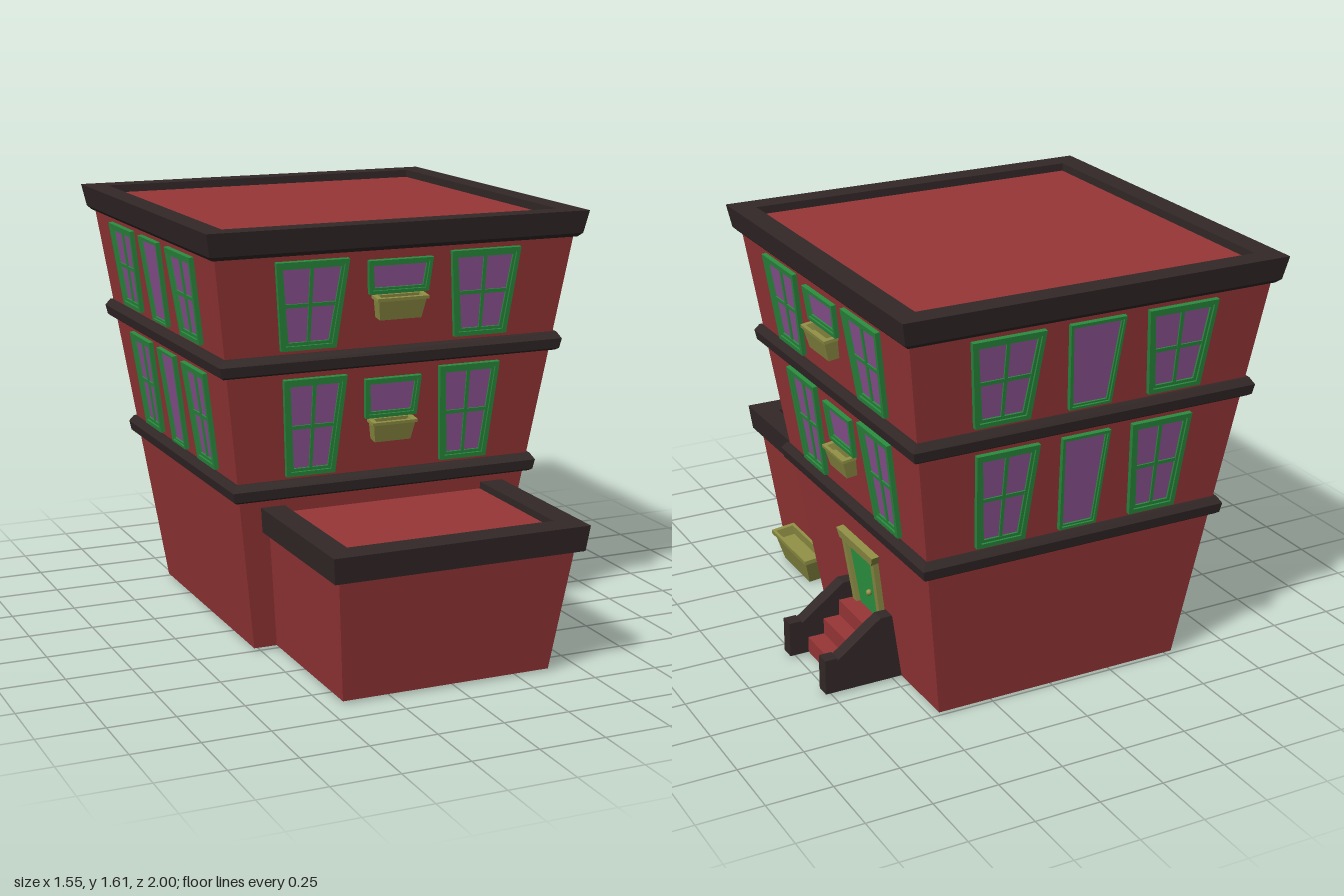
import * as THREE from 'three';

const mat = (color) => new THREE.MeshStandardMaterial({ color, flatShading: true, side: THREE.DoubleSide });
const RED = mat(0x983636), DARK = mat(0x332828), GREEN = mat(0x2a8a3e), DOOR = mat(0x2f9b45),
  PURPLE = mat(0x8d5494), OLIVE = mat(0x8f8f45);

const CX = -0.0275, CZ = -0.25, BASE = 0.01, SLOPE = 0.139;
const TILT = Math.atan(SLOPE);
const wallHalf = (y) => 0.495 + SLOPE * (y - BASE);
const along = (y) => (y - BASE) / Math.cos(TILT); // world height -> distance up the leaning wall

function add(parent, name, geometry, material) {
  const m = new THREE.Mesh(geometry, material);
  m.name = name;
  parent.add(m);
  return m;
}

// Stacked rectangular sections [x0, x1, z0, z1, y], joined with flat sides
function loft(sections, { bottom = false, top = false, loop = false } = {}) {
  const rings = sections.map(([x0, x1, z0, z1, y]) => [[x0, y, z1], [x1, y, z1], [x1, y, z0], [x0, y, z0]]);
  const pos = [];
  const quad = (a, b, c, d) => pos.push(...a, ...b, ...c, ...a, ...c, ...d);
  const n = rings.length;
  for (let i = 0; i < (loop ? n : n - 1); i++) {
    const p = rings[i], q = rings[(i + 1) % n];
    for (let k = 0; k < 4; k++) quad(p[k], p[(k + 1) % 4], q[(k + 1) % 4], q[k]);
  }
  if (bottom) quad(...[...rings[0]].reverse());
  if (top) quad(...rings[n - 1]);
  const g = new THREE.BufferGeometry();
  g.setAttribute('position', new THREE.Float32BufferAttribute(pos, 3));
  g.computeVertexNormals();
  return g;
}

// Square section centred on the main block
const sq = (h, y) => [CX - h, CX + h, CZ - h, CZ + h, y];

const trapPoints = (cx, y0, y1, hb, ht) =>
  [[cx - hb, y0], [cx + hb, y0], [cx + ht, y1], [cx - ht, y1]].map((p) => new THREE.Vector2(...p));

const extrude = (points, depth, hole) => {
  const shape = new THREE.Shape(points);
  if (hole) shape.holes.push(new THREE.Path(hole));
  return new THREE.ExtrudeGeometry(shape, { depth, bevelEnabled: false });
};

// Tapered window: stepped frame, pane and optional cross bars
function makeWindow(parent, cx, y0, y1, hb, ht, { bars = false, width = 0.028 } = {}) {
  const g = new THREE.Group();
  g.name = 'window';
  const inset = (w) => trapPoints(cx, y0 + w, y1 - w, hb - w, ht - w);
  add(g, 'outerFrame', extrude(inset(0), 0.018, inset(width * 0.6)), GREEN);
  add(g, 'innerFrame', extrude(inset(width * 0.5), 0.011, inset(width)), GREEN);
  add(g, 'pane', extrude(inset(width * 0.8), 0.004), PURPLE);
  if (bars) {
    const ym = (y0 + y1) / 2, hm = (hb + ht) / 2 - width * 0.8;
    add(g, 'uprightBar', extrude(trapPoints(cx, y0 + width * 0.8, y1 - width * 0.8, 0.006, 0.007), 0.01), GREEN);
    add(g, 'crossBar', extrude(trapPoints(cx, ym - 0.007, ym + 0.007, hm, hm), 0.009), GREEN);
  }
  parent.add(g);
}

// Hollow flared planter with a lip; its back lies on z = 0
function planter(parent, name, hb, ht, y0, y1, depth) {
  const lip = (y1 - y0) * 0.14, e = ht * 0.08;
  const s = (h, d, y, z = 0) => [-h, h, z, d, y];
  return add(parent, name, loft([
    s(hb, depth * 0.75, y0), s(ht - e, depth * 0.92, y1 - lip), s(ht, depth, y1 - lip), s(ht, depth, y1),
    s(ht - 0.02, depth - 0.013, y1, 0.013), s(ht - 0.025, depth - 0.017, y1 - lip * 2.2, 0.013),
  ], { bottom: true, top: true }), OLIVE);
}

// One leaning wall: two storeys of windows
function facade(root, name, angle, withBoxes) {
  const g = new THREE.Group();
  g.name = name;
  g.rotation.set(TILT, angle, 0, 'YXZ');
  const h = wallHalf(BASE);
  g.position.set(CX + Math.sin(angle) * h, BASE, CZ + Math.cos(angle) * h);
  const storeys = [
    { y0: 0.69, y1: 1.06, hb: 0.095, ht: 0.123, cx: 0.308, sill: 0.885, top: 1.035, sb: 0.102, st: 0.112, box: [0.80, 0.88] },
    { y0: 1.17, y1: 1.495, hb: 0.106, ht: 0.14, cx: 0.341, sill: 1.355, top: 1.48, sb: 0.117, st: 0.127, box: [1.265, 1.35] },
  ];
  for (const s of storeys) {
    for (const side of [-1, 1])
      makeWindow(g, side * s.cx, along(s.y0), along(s.y1), s.hb, s.ht, { bars: true });
    if (withBoxes) {
      makeWindow(g, 0, along(s.sill), along(s.top), s.sb, s.st, { width: 0.022 });
      planter(g, 'flowerBox', s.sb * 0.7, s.st * 0.8, along(s.box[0]), along(s.box[1]), 0.055);
    } else {
      makeWindow(g, 0, along(s.y0), along(s.y1), s.hb * 0.78, s.ht * 0.78, { width: 0.016 });
    }
  }
  root.add(g);
  return g;
}

export function createModel() {
  const root = new THREE.Group();
  root.name = 'house';

  // Main block, flaring upward, open underneath
  add(root, 'mainWalls', loft([sq(wallHalf(BASE), BASE), sq(wallHalf(1.53), 1.53)]), RED);
  add(root, 'mainRoof', loft([sq(0.67, 1.57), sq(0.67, 1.585)], { top: true }), RED);
  add(root, 'mainCornice', loft([
    sq(0.69, 1.515), sq(0.715, 1.515), sq(0.731, 1.53), sq(0.7475, 1.615), sq(0.66, 1.615), sq(0.66, 1.56),
  ], { loop: true }), DARK);

  // Dark bands between storeys
  for (const [y, h] of [[0.605, 0.613], [1.083, 0.68]]) {
    add(root, 'storeyBand', loft([
      sq(h - 0.06, y), sq(h - 0.018, y), sq(h - 0.007, y + 0.008), sq(h, y + 0.045),
      sq(h - 0.016, y + 0.07), sq(h - 0.06, y + 0.07),
    ], { loop: true }), DARK);
  }

  // Front annex
  const box = (h, z0, z1, y) => [CX - h, CX + h, z0, z1, y];
  add(root, 'annexWalls', loft([box(0.405, 0.245, 0.87, BASE), box(0.456, 0.31, 0.957, 0.49)]), RED);
  add(root, 'annexRoof', loft([box(0.41, 0.27, 0.9, 0.535), box(0.41, 0.27, 0.9, 0.548)], { top: true }), RED);
  add(root, 'annexCornice', loft([
    box(0.44, 0.28, 0.93, 0.478), box(0.482, 0.22, 0.985, 0.478), box(0.4925, 0.21, 1.0, 0.575),
    box(0.4, 0.29, 0.895, 0.575), box(0.4, 0.29, 0.895, 0.53),
  ], { loop: true }), DARK);

  // Planter leaning along the annex side wall
  const p = planter(root, 'groundPlanter', 0.125, 0.17, 0, 0.122, 0.1);
  p.rotation.set(0.11, Math.PI / 2, 0, 'YXZ');
  p.position.set(0.378, 0.009, 0.56);

  // Four facades
  facade(root, 'frontFacade', 0, true);
  const right = facade(root, 'doorFacade', Math.PI / 2, true);
  facade(root, 'backFacade', Math.PI, false);
  facade(root, 'plainFacade', -Math.PI / 2, false);

  // Door with surround
  const d0 = along(0.2), d1 = along(0.47);
  const surround = [[-0.122, d0], [-0.094, d0], [-0.11, d1 - 0.015], [0.11, d1 - 0.015], [0.094, d0], [0.122, d0], [0.138, d1], [-0.138, d1]]
    .map((q) => new THREE.Vector2(...q));
  add(right, 'doorSurround', extrude(surround, 0.022), OLIVE);
  add(right, 'doorLintel', extrude(trapPoints(0, d1 - 0.005, along(0.5), 0.138, 0.155), 0.03), OLIVE);
  add(right, 'door', extrude(trapPoints(0, d0, along(0.447), 0.083, 0.101), 0.008), DOOR);
  const knob = add(right, 'doorKnob', new THREE.SphereGeometry(0.012, 10, 8), OLIVE);
  knob.position.set(0.043, along(0.305), 0.018);

  // Steps and their stair walls
  const steps = [[0.2, 0.57], [0.137, 0.635], [0.073, 0.7]];
  for (const [y, x] of steps)
    add(root, 'step', loft([[0.47, x, -0.385, -0.115, BASE], [0.47, x, -0.385, -0.115, y]], { top: true, bottom: true }), RED);
  const stairProfile = [[0.46, BASE], [0.775, BASE], [0.775, 0.147], [0.725, 0.147], [0.725, 0.138], [0.55, 0.268], [0.5, 0.268]]
    .map((q) => new THREE.Vector2(...q));
  for (const z of [-0.115, -0.44])
    add(root, 'stairWall', extrude(stairProfile, 0.056), DARK).position.z = z;

  return root;
}
